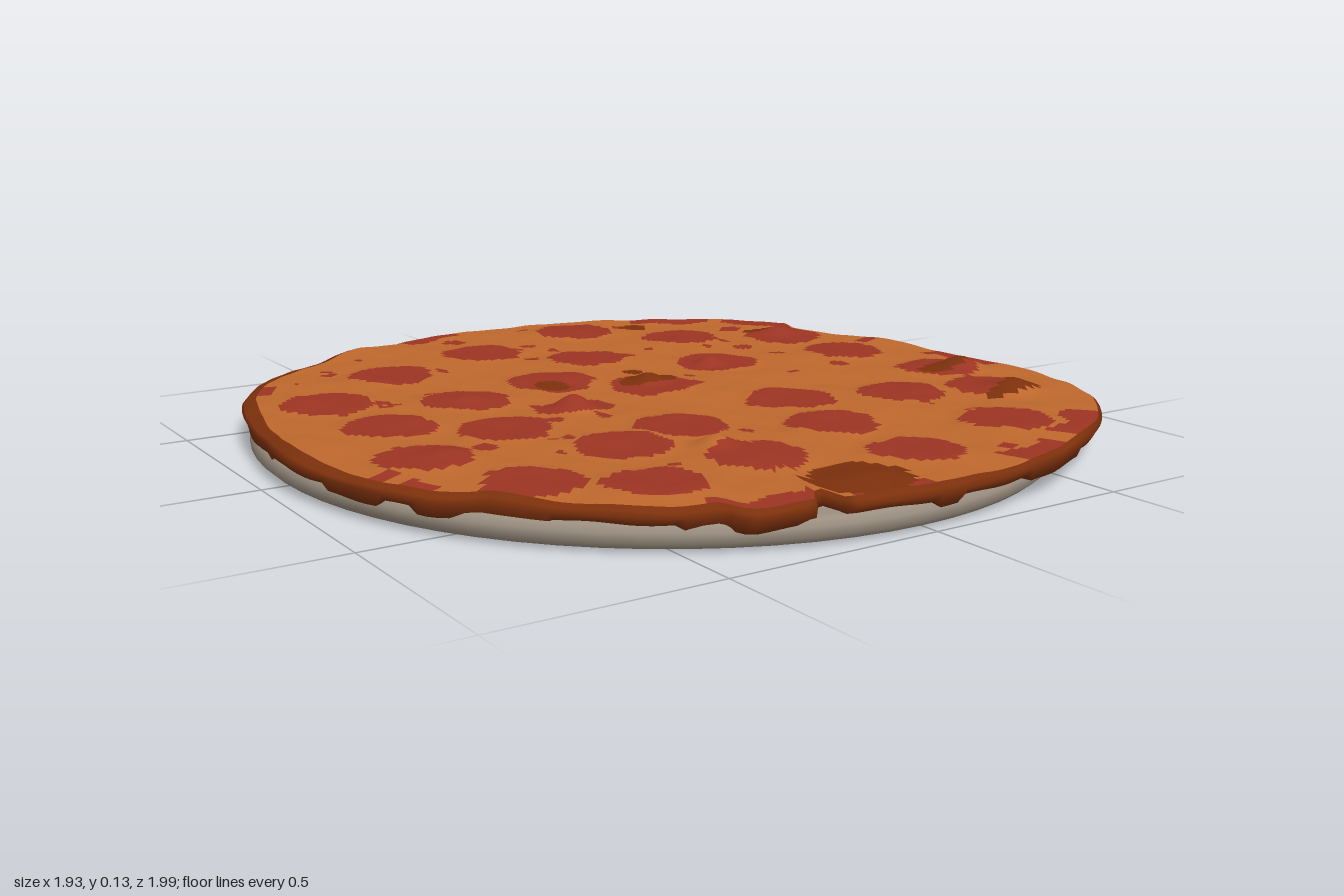
import * as THREE from 'three';

const material = (name, color, side = THREE.FrontSide) => {
  const m = new THREE.MeshStandardMaterial({ color, side });
  m.name = name;
  return m;
};

// Ragged outer edge (x, z), in order of rising angle
const OUTLINE = [
  [-0.1, -1], [0, -0.985], [0.27, -0.97], [0.5, -0.87], [0.67, -0.79], [0.78, -0.66], [0.84, -0.56],
  [0.81, -0.48], [0.88, -0.35], [0.94, -0.15], [0.95, 0.1], [0.965, 0.27], [0.93, 0.45], [0.87, 0.62],
  [0.7, 0.78], [0.52, 0.88], [0.3, 0.96], [0, 0.99], [-0.19, 0.96], [-0.2, 0.87], [-0.25, 0.94],
  [-0.4, 0.93], [-0.42, 0.87], [-0.52, 0.84], [-0.65, 0.72], [-0.77, 0.56], [-0.85, 0.5], [-0.93, 0.3],
  [-0.97, 0.08], [-0.95, -0.1], [-0.92, -0.3], [-0.86, -0.5], [-0.73, -0.69], [-0.55, -0.82],
  [-0.4, -0.92], [-0.27, -0.95],
];
const TURN = Math.PI * 2;
const START = Math.atan2(-1, -0.1);
const wrap = (a) => (((a - START) % TURN) + TURN) % TURN;
const EDGE = OUTLINE.map(([x, z], i) => [i ? wrap(Math.atan2(z, x)) : 0, Math.hypot(x, z)]);
EDGE.push([TURN, EDGE[0][1]]);

function edgeRadius(angle) {
  const a = wrap(angle);
  let i = 1;
  while (i < EDGE.length - 1 && EDGE[i][0] < a) i++;
  const [a0, r0] = EDGE[i - 1], [a1, r1] = EDGE[i];
  return r0 + (r1 - r0) * (a - a0) / (a1 - a0);
}

// Pepperoni slice centres (x, z)
const SLICES = [
  [-0.14, -0.64], [0.23, -0.78], [-0.46, -0.52], [0.07, -0.44], [0.44, -0.54], [-0.72, -0.31],
  [-0.43, -0.16], [-0.16, -0.23], [0.03, -0.06], [0.33, -0.21], [0.71, -0.14], [-0.69, -0.03],
  [-0.48, 0.13], [-0.74, 0.26], [-0.34, 0.39], [-0.14, 0.32], [0.23, 0.24], [0.5, 0.33],
  [0.77, 0.17], [0.73, 0.4], [0.16, 0.48], [-0.15, 0.62], [-0.44, 0.67], [-0.64, 0.54],
  [0.16, 0.76], [0.51, 0.67], [0.7, -0.4],
];
// Charred spots (x, z, radius x, radius z)
const CHARS = [
  [-0.08, 0.86, 0.11, 0.11], [0.73, 0.48, 0.09, 0.03], [0.77, 0.19, 0.08, 0.04], [0.43, -0.77, 0.04, 0.04],
  [0.05, -0.11, 0.08, 0.05], [0.72, -0.5, 0.08, 0.03], [0.08, -0.23, 0.025, 0.03], [-0.18, -0.19, 0.04, 0.05],
];
// Raised lumps (x, z, height, radius)
const LUMPS = [
  [-0.26, 0.05, 0.04, 0.07], [0.74, 0.46, 0.03, 0.09], [0.3, -0.2, 0.022, 0.05], [-0.18, 0.5, 0.025, 0.06],
  [0.04, -0.1, 0.022, 0.06], [0.82, 0.2, 0.025, 0.07], [-0.08, 0.86, 0.015, 0.1], [0.72, -0.45, 0.02, 0.07],
  [-0.7, 0.27, 0.015, 0.08], [-0.43, -0.14, 0.012, 0.06],
];

// Small stray flecks of sauce
let seed = 7;
const random = () => (seed = (seed * 16807) % 2147483647) / 2147483647;
const FLECKS = Array.from({ length: 70 }, () => {
  const a = random() * TURN, r = 0.92 * Math.sqrt(random());
  return [r * Math.cos(a), r * Math.sin(a), 0.008 + 0.02 * random(), 0.008 + 0.025 * random()];
});

const inOval = (x, z, [cx, cz, rx, rz]) => ((x - cx) / rx) ** 2 + ((z - cz) / rz) ** 2 < 1;

// Uneven surface of the melted topping
function height(x, z) {
  let y = 0.088 + 0.0035 * Math.sin(9 * x + 4 * z) * Math.cos(11 * z - 3 * x)
    + 0.0025 * Math.sin(23 * x - 8 * z + 1) * Math.sin(19 * z + 9 * x)
    + 0.001 * Math.sin(47 * x + 13 * z) * Math.sin(41 * z - 17 * x);
  for (const [cx, cz, h, r] of LUMPS) y += h * Math.exp(-((x - cx) ** 2 + (z - cz) ** 2) / (r * r * 0.45));
  for (const [cx, cz] of SLICES) {
    const d = Math.hypot(x - cx, z - cz);
    if (d < 0.13) y += 0.004 * Math.min(1, (0.13 - d) / 0.03);
  }
  return y;
}

// 0 cheese, 1 pepperoni and sauce, 2 charred
function toppingAt(x, z) {
  if (CHARS.some((c) => inOval(x, z, c))) return 2;
  for (const [cx, cz] of SLICES) {
    const a = Math.atan2(z - cz, x - cx);
    const r = 0.105 + 0.005 * Math.sin(3 * a + cx * 20) + 0.003 * Math.sin(7 * a + cz * 30);
    if (Math.hypot(x - cx, z - cz) < r) return 1;
  }
  if (inOval(x, z, [-0.25, 0.04, 0.1, 0.065]) || FLECKS.some((f) => inOval(x, z, f))) return 1;
  // Sauce showing in patches along the rim
  const a = Math.atan2(z, x), rim = Math.hypot(x, z) / edgeRadius(a);
  const wave = Math.sin(7 * a + 1) + 0.7 * Math.sin(17 * a) + 0.4 * Math.sin(41 * a);
  const bare = x > 0.1 || z > 0.8 ? 0.2 : 1.1;
  return rim > 0.925 + 0.015 * Math.sin(29 * a) && wave > bare ? 1 : 0;
}

// Polar surface from rings; point(i, angle) gives [x, y, z], running outward
function polarSurface(rings, segments, point, groupAt = () => 0) {
  const positions = [], groups = [[], [], []];
  for (let i = 0; i <= rings; i++)
    for (let j = 0; j < segments; j++) positions.push(...point(i, (j / segments) * TURN));
  for (let i = 0; i < rings; i++) {
    for (let j = 0; j < segments; j++) {
      const k = (j + 1) % segments;
      const a = i * segments + j, b = a + segments, c = (i + 1) * segments + k, d = i * segments + k;
      const mx = (positions[3 * a] + positions[3 * c]) / 2;
      const mz = (positions[3 * a + 2] + positions[3 * c + 2]) / 2;
      groups[groupAt(mx, mz)].push(a, c, b, a, d, c);
    }
  }
  const geometry = new THREE.BufferGeometry();
  geometry.setAttribute('position', new THREE.Float32BufferAttribute(positions, 3));
  geometry.setIndex(groups.flat());
  let start = 0;
  groups.forEach((g, i) => {
    if (g.length) geometry.addGroup(start, g.length, i);
    start += g.length;
  });
  geometry.computeVertexNormals();
  return geometry;
}

export function createModel() {
  const model = new THREE.Group();
  model.name = 'pizza';
  const cheese = material('cheese', 0xbd672c);
  const pepperoni = material('pepperoni', 0x9c3423);
  const crustBrown = material('crust brown', 0x7c300c, THREE.DoubleSide);
  const panGrey = material('pan grey', 0x9a8e80);
  const add = (name, geometry, mat) => {
    const mesh = new THREE.Mesh(geometry, mat);
    mesh.name = name;
    model.add(mesh);
    return mesh;
  };

  // Shallow round pan
  const profile = [[0, 0], [0.91, 0], [0.935, 0.006], [0.95, 0.02], [0.95, 0.04], [0.94, 0.053], [0.92, 0.056], [0, 0.056]];
  const pan = add('pan', new THREE.LatheGeometry(profile.map(([x, y]) => new THREE.Vector2(x, y)), 72), panGrey);
  pan.scale.z = 1.035;
  pan.position.x = -0.01;

  // Cheese, with pepperoni and charred spots as face groups; the crust shows more on the left
  const RINGS = 84, SEGMENTS = 288;
  const cheeseRadius = (a) => edgeRadius(a) * (0.977 - 0.012 * Math.cos(a - Math.PI * 1.15) - 0.004 * Math.sin(13 * a));
  const topping = polarSurface(RINGS, SEGMENTS, (i, a) => {
    const r = cheeseRadius(a) * Math.max(i / RINGS, 0.0005);
    const x = r * Math.cos(a), z = r * Math.sin(a);
    return [x, height(x, z), z];
  }, toppingAt);
  add('topping', topping, [cheese, pepperoni, crustBrown]);

  // Crust wall with a ragged lower edge, tucked under onto the pan
  const crust = polarSurface(4, SEGMENTS, (i, a) => {
    const edge = edgeRadius(a), inner = cheeseRadius(a);
    const top = height(inner * Math.cos(a), inner * Math.sin(a));
    const ragged = 0.05 + 0.007 * Math.sign(Math.sin(9 * a) + Math.sin(14 * a + 2)) + 0.002 * Math.sin(31 * a);
    const r = [inner, edge * 0.993, edge, edge * 0.993, edge * 0.9][i];
    const y = [top, top - 0.007, 0.072, ragged, 0.054][i];
    return [r * Math.cos(a), y, r * Math.sin(a)];
  });
  add('crust', crust, crustBrown);

  return model;
}
